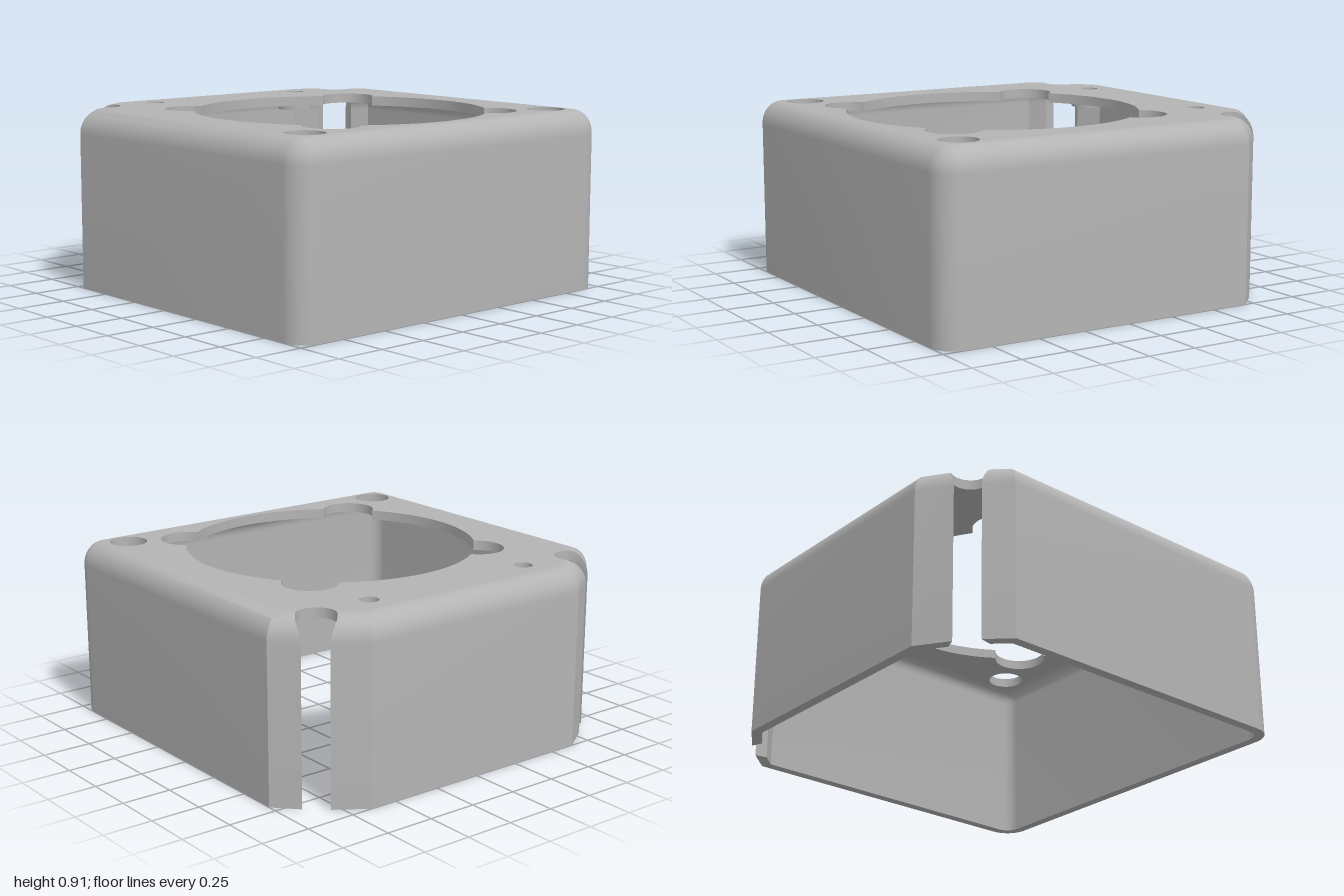
import * as THREE from 'three';
import { toCreasedNormals } from 'three/addons/utils/BufferGeometryUtils.js';

const TOP = 0.91, T = 0.05, FILLET = 0.12, CAP_INSET = 0.102, CORNER = 0.12;
const NOTCH = { x: -0.8, z: 0.8, r: 0.095 };

const mirrorZ = (pts) => pts.map(([x, z]) => [x, -z]).reverse();

// Chamfer from a towards b, moved inwards by d: its corner with the straight
// wall and its end on the round notch.
function chamfer(a, b, d, axis) {
  const len = Math.hypot(b[0] - a[0], b[1] - a[1]);
  const u = [(b[0] - a[0]) / len, (b[1] - a[1]) / len];
  let n = [u[1], -u[0]];
  if (n[0] > 0) n = [-n[0], -n[1]];
  const p = [a[0] - n[0] * d, a[1] - n[1] * d];
  const wall = axis === 0 ? -(1 - d) : 1 - d;
  const at = (s) => [p[0] + u[0] * s, p[1] + u[1] * s];
  const w = [p[0] - NOTCH.x, p[1] - NOTCH.z];
  const h = w[0] * u[0] + w[1] * u[1];
  const end = -h - Math.sqrt(h * h - (w[0] ** 2 + w[1] ** 2 - NOTCH.r ** 2));
  return { corner: at((wall - p[axis]) / u[axis]), end: at(end) };
}

// Plan outline of the narrow -x wall, back to front
function leftContour(d) {
  const c = chamfer([-1, 0.64], [-0.895, 0.795], d, 0);
  const half = [c.corner, c.end];
  return [...mirrorZ(half), ...half];
}

// Plan outline of the other three walls, front to back
function rightContour(d) {
  const c = chamfer([-0.7, 1], [-0.81, 0.895], d, 1);
  const half = [c.end, c.corner];
  for (let i = 0; i <= 10; i++) {
    const t = (i / 10) * Math.PI / 2, r = CORNER - d;
    half.push([1 - CORNER + r * Math.sin(t), 1 - CORNER + r * Math.cos(t)]);
  }
  return [...half, ...mirrorZ(half)];
}

// Wall section as a loop of [inset, height]: up the outside, down the inside
function wallProfile() {
  const side = (inset, top, ry) => {
    const rows = [[inset, 0]];
    for (let i = 0; i <= 10; i++) {
      const t = (i / 10) * Math.PI / 2;
      rows.push([inset + (CAP_INSET - inset) * (1 - Math.cos(t)), top - ry * (1 - Math.sin(t))]);
    }
    return rows;
  };
  return [...side(0, TOP, FILLET), ...side(T, TOP - T, FILLET - T).reverse()];
}

function wallGeometry(contour) {
  const rows = wallProfile().map(([d, y]) => contour(d).map(([x, z]) => [x, y, z]));
  const n = rows.length, m = rows[0].length, index = [];
  const quad = (a, b, c, d) => index.push(a, b, c, a, c, d);
  const id = (k, j) => (k % n) * m + j;
  for (let k = 0; k < n; k++)
    for (let j = 0; j < m - 1; j++) quad(id(k, j), id(k, j + 1), id(k + 1, j + 1), id(k + 1, j));
  // slot ends
  for (let k = 0; k < n / 2 - 1; k++) {
    const o = n - 1 - k, e = m - 1;
    quad(id(k, 0), id(k + 1, 0), id(o - 1, 0), id(o, 0));
    quad(id(o, e), id(o - 1, e), id(k + 1, e), id(k, e));
  }
  const g = new THREE.BufferGeometry();
  g.setAttribute('position', new THREE.Float32BufferAttribute(rows.flat(2), 3));
  g.setIndex(index);
  return toCreasedNormals(g, 0.5);
}

const circle = (x, y, r) => new THREE.Path().absarc(x, y, r, 0, Math.PI * 2, false);

// Large round opening with four lobes
function openingPath() {
  const cx = 0.14, R = 0.735, D = 0.747, r = 0.136;
  const phi = Math.acos((R * R + D * D - r * r) / (2 * R * D));
  const path = new THREE.Path();
  for (let i = 0; i < 4; i++) {
    const a = Math.PI / 4 + i * Math.PI / 2;
    path.absarc(cx, 0, R, a - Math.PI / 2 + phi, a - phi, false);
    const lx = D * Math.cos(a), ly = D * Math.sin(a);
    const rel = Math.atan2(R * Math.sin(-phi), R * Math.cos(phi) - D);
    path.absarc(cx + lx, ly, r, a + rel, a - rel, false);
  }
  return path;
}

function slab(shape, depth, y) {
  const g = new THREE.ExtrudeGeometry(shape, { depth, bevelEnabled: false, curveSegments: 32 });
  g.rotateX(-Math.PI / 2).translate(0, y, 0);
  return toCreasedNormals(g, 0.5);
}

function topShape() {
  const left = leftContour(CAP_INSET), right = rightContour(CAP_INSET);
  const angle = ([x, z]) => Math.atan2(z - NOTCH.z, x - NOTCH.x);
  const a0 = angle(left[left.length - 1]), a1 = angle(right[0]);
  const arc = [];
  for (let i = 1; i < 24; i++) {
    const a = a0 + (a1 - a0) * i / 24;
    arc.push([NOTCH.x + NOTCH.r * Math.cos(a), NOTCH.z + NOTCH.r * Math.sin(a)]);
  }
  const outline = [...left, ...arc, ...right, ...mirrorZ(arc)];
  const shape = new THREE.Shape(outline.map(([x, z]) => new THREE.Vector2(x, -z)));
  shape.holes.push(openingPath());
  for (const s of [-1, 1])
    shape.holes.push(circle(0.8, 0.8 * s, 0.095), circle(-0.775, 0.48 * s, 0.046));
  return shape;
}

export function createModel() {
  const grey = new THREE.MeshStandardMaterial({ color: 0xb4b4b4 });
  grey.name = 'grey';
  const model = new THREE.Group();
  model.name = 'housing';
  const add = (name, geometry) => {
    const mesh = new THREE.Mesh(geometry, grey);
    mesh.name = name;
    model.add(mesh);
  };

  add('narrowWall', wallGeometry(leftContour));
  add('mainWalls', wallGeometry(rightContour));
  add('topPlate', slab(topShape(), T, TOP - T));

  // Screw bosses under the top plate
  for (const s of [-1, 1]) {
    const ring = new THREE.Shape().absarc(-0.775, 0.48 * s, 0.095, 0, Math.PI * 2, false);
    ring.holes.push(circle(-0.775, 0.48 * s, 0.046));
    add(s < 0 ? 'frontBoss' : 'backBoss', slab(ring, 0.045, TOP - T - 0.045));
  }
  return model;
}
